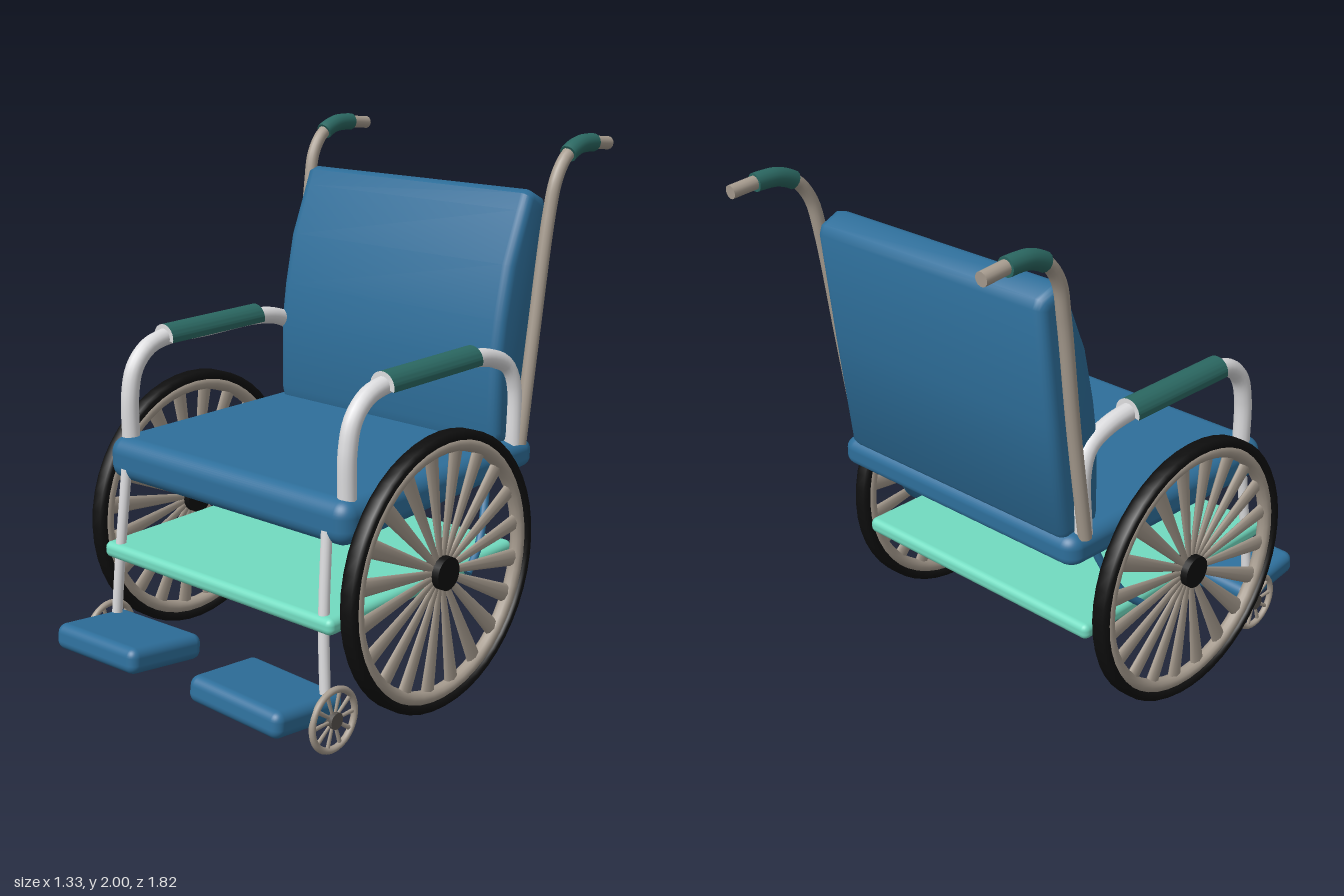
import * as THREE from 'three';
import { toCreasedNormals } from 'three/addons/utils/BufferGeometryUtils.js';
import { RoundedBoxGeometry } from 'three/addons/geometries/RoundedBoxGeometry.js';

const material = (name, color) => {
  const m = new THREE.MeshStandardMaterial({ color });
  m.name = name;
  return m;
};

export function createModel() {
  const blue = material('blue upholstery', 0x2e6f9b);
  const beige = material('beige metal', 0xa89d90);
  const white = material('white tube', 0xdcdcde);
  const green = material('dark green grip', 0x2b6862);
  const mint = material('mint shelf', 0x72dbc0);
  const black = material('black rubber', 0x0e0e0e);
  const grey = material('grey hub', 0x57534e);

  const model = new THREE.Group();
  model.name = 'wheelchair';

  const add = (parent, name, geometry, mat, x = 0, y = 0, z = 0) => {
    const mesh = new THREE.Mesh(geometry, mat);
    mesh.name = name;
    mesh.position.set(x, y, z);
    parent.add(mesh);
    return mesh;
  };

  // Round tube along a curve, closed with a disc at each end
  const tube = (name, curve, radius, mat, segments = 40) => {
    const group = new THREE.Group();
    group.name = name;
    add(group, name + 'Tube', new THREE.TubeGeometry(curve, segments, radius, 14), mat);
    for (const t of [0, 1]) {
      const p = curve.getPointAt(t);
      const out = curve.getTangentAt(t).multiplyScalar(t ? 1 : -1);
      add(group, name + 'End', new THREE.CircleGeometry(radius, 14), mat, p.x, p.y, p.z)
        .lookAt(p.clone().add(out));
    }
    model.add(group);
  };

  // Smooth curve on one side of the chair
  const path = (s, points) => new THREE.CatmullRomCurve3(
    points.map(([x, y, z]) => new THREE.Vector3(s * x, y, z)), false, 'centripetal');

  // Wheel in the xy plane, turned so that its axle runs along x
  const wheel = (name, { hub, hubMat, hubWidth, rim, rimTube, spokes, inner, outer, flat }) => {
    const group = new THREE.Group();
    group.name = name;
    add(group, 'rim', new THREE.TorusGeometry(rim, rimTube, 12, 48), beige);
    const hubGeo = new THREE.CylinderGeometry(hub, hub, hubWidth, 20).rotateX(Math.PI / 2);
    add(group, 'hub', hubGeo, hubMat);
    for (let i = 0; i < spokes; i++) {
      const geo = new THREE.CylinderGeometry(outer, inner, rim - hub * 0.7, 8);
      geo.translate(0, (rim + hub * 0.7) / 2, 0).scale(1, 1, flat);
      add(group, 'spoke', geo, beige).rotation.z = (i + 0.5) * Math.PI * 2 / spokes;
    }
    group.rotation.y = Math.PI / 2;
    model.add(group);
    return group;
  };

  // Seat cushion, thinner toward the back
  const seat = new RoundedBoxGeometry(1.2, 0.165, 1.1, 5, 0.06);
  const pos = seat.attributes.position;
  for (let i = 0; i < pos.count; i++) {
    const z = pos.getZ(i);
    pos.setY(i, pos.getY(i) * (0.85 + 0.29 * z) - 0.015 * z);
  }
  add(model, 'seat', seat, blue, 0, 0.817, 0.05);

  // Backrest: side profile as (-z, y), extruded across the width
  const profile = new THREE.Shape([
    [0.31, 0.88], [0.47, 0.86], [0.495, 0.89], [0.55, 1.32], [0.598, 1.74], [0.585, 1.775],
    [0.51, 1.81], [0.475, 1.8], [0.45, 1.74], [0.37, 1.55], [0.325, 1.35], [0.303, 1.2], [0.3, 0.92],
  ].map(([x, y]) => new THREE.Vector2(x, y)));
  const back = new THREE.ExtrudeGeometry(profile, {
    depth: 1.02, bevelEnabled: true, bevelThickness: 0.04, bevelSize: 0.035,
    bevelOffset: -0.035, bevelSegments: 5,
  });
  back.translate(0, 0, -0.51).rotateY(Math.PI / 2);
  add(model, 'backrest', toCreasedNormals(back, 0.8), blue);

  // Shelf below the seat
  add(model, 'lowerShelf', new RoundedBoxGeometry(1.155, 0.062, 1.05, 3, 0.025), mint, 0, 0.46, 0.125);

  // Half-round armrest pad section
  const padShape = new THREE.Shape();
  padShape.absarc(0, 0, 0.053, -0.25, Math.PI + 0.25, false);
  padShape.absarc(0, 0, 0.034, Math.PI + 0.25, -0.25, true);

  for (const s of [1, -1]) {
    // Large wheel with tyre
    const big = wheel('rearWheel', {
      hub: 0.062, hubMat: black, hubWidth: 0.068, rim: 0.465, rimTube: 0.027,
      spokes: 20, inner: 0.012, outer: 0.036, flat: 0.45,
    });
    big.position.set(s * 0.632, 0.527, 0.118);
    const tyreProfile = [
      [0.484, -0.026], [0.492, -0.034], [0.508, -0.034], [0.518, -0.022],
      [0.518, 0.022], [0.508, 0.034], [0.492, 0.034], [0.484, 0.026], [0.484, -0.026],
    ].map(([r, h]) => new THREE.Vector2(r, h));
    const tyre = new THREE.LatheGeometry(tyreProfile, 48).rotateX(Math.PI / 2);
    add(big, 'tyre', toCreasedNormals(tyre, 0.9), black);

    // Small castor with its axle
    const small = wheel('castor', {
      hub: 0.03, hubMat: grey, hubWidth: 0.034, rim: 0.109, rimTube: 0.0125,
      spokes: 10, inner: 0.006, outer: 0.009, flat: 0.8,
    });
    small.position.set(s * 0.576, 0.124, 0.632);
    const axle = new THREE.CylinderGeometry(0.012, 0.012, 0.05, 12).rotateZ(Math.PI / 2);
    add(model, 'castorAxle', axle, grey, s * 0.556, 0.124, 0.632);

    // Front leg down to the castor
    tube('frontLeg', path(s, [[0.503, 0.78, 0.585], [0.518, 0.45, 0.617], [0.542, 0.115, 0.634]]),
      0.02, white, 16);

    // Curved strut from the seat to the wheel
    tube('strut', path(s, [[0.51, 0.79, -0.31], [0.54, 0.66, -0.26], [0.575, 0.53, -0.18],
      [0.595, 0.45, -0.09]]), 0.015, blue, 24);

    // Armrest tube and pad
    tube('armrest', path(s, [[0.54, 0.85, 0.524], [0.54, 1.05, 0.522], [0.54, 1.15, 0.495],
      [0.54, 1.215, 0.43], [0.54, 1.24, 0.34], [0.54, 1.24, 0.1], [0.54, 1.24, -0.15],
      [0.54, 1.222, -0.27], [0.543, 1.18, -0.36], [0.55, 1.1, -0.4], [0.56, 0.87, -0.4]]),
      0.034, white, 60);
    const pad = new THREE.ExtrudeGeometry(padShape, { depth: 0.5, bevelEnabled: false, curveSegments: 20 });
    add(model, 'armrestPad', toCreasedNormals(pad, 0.6), [white, green], s * 0.54, 1.237, -0.155);

    // Back post bending into the push handle, with its grip
    const handle = path(s, [[0.582, 0.87, -0.415], [0.584, 1.3, -0.48], [0.592, 1.72, -0.54],
      [0.598, 1.85, -0.57], [0.6, 1.925, -0.625], [0.6, 1.96, -0.7], [0.6, 1.965, -0.77],
      [0.6, 1.953, -0.908]]);
    tube('backPost', handle, 0.025, beige, 50);
    const gripPoints = handle.getSpacedPoints(80).filter((p) => p.z < -0.625 && p.z > -0.815);
    tube('handleGrip', new THREE.CatmullRomCurve3(gripPoints), 0.034, green, 20);

    // Footrest, raised at the toe and slightly narrower there
    const foot = new RoundedBoxGeometry(0.44, 0.098, 0.34, 4, 0.035);
    const fp = foot.attributes.position;
    for (let i = 0; i < fp.count; i++) {
      const x = fp.getX(i);
      if (s * x < 0) fp.setX(i, x * (1 - 0.2 * fp.getZ(i)));
    }
    add(model, 'footrest', foot, blue, s * 0.352, 0.177, 0.737).rotation.set(-0.12, 0, s * -0.03);
  }
  return model;
}
